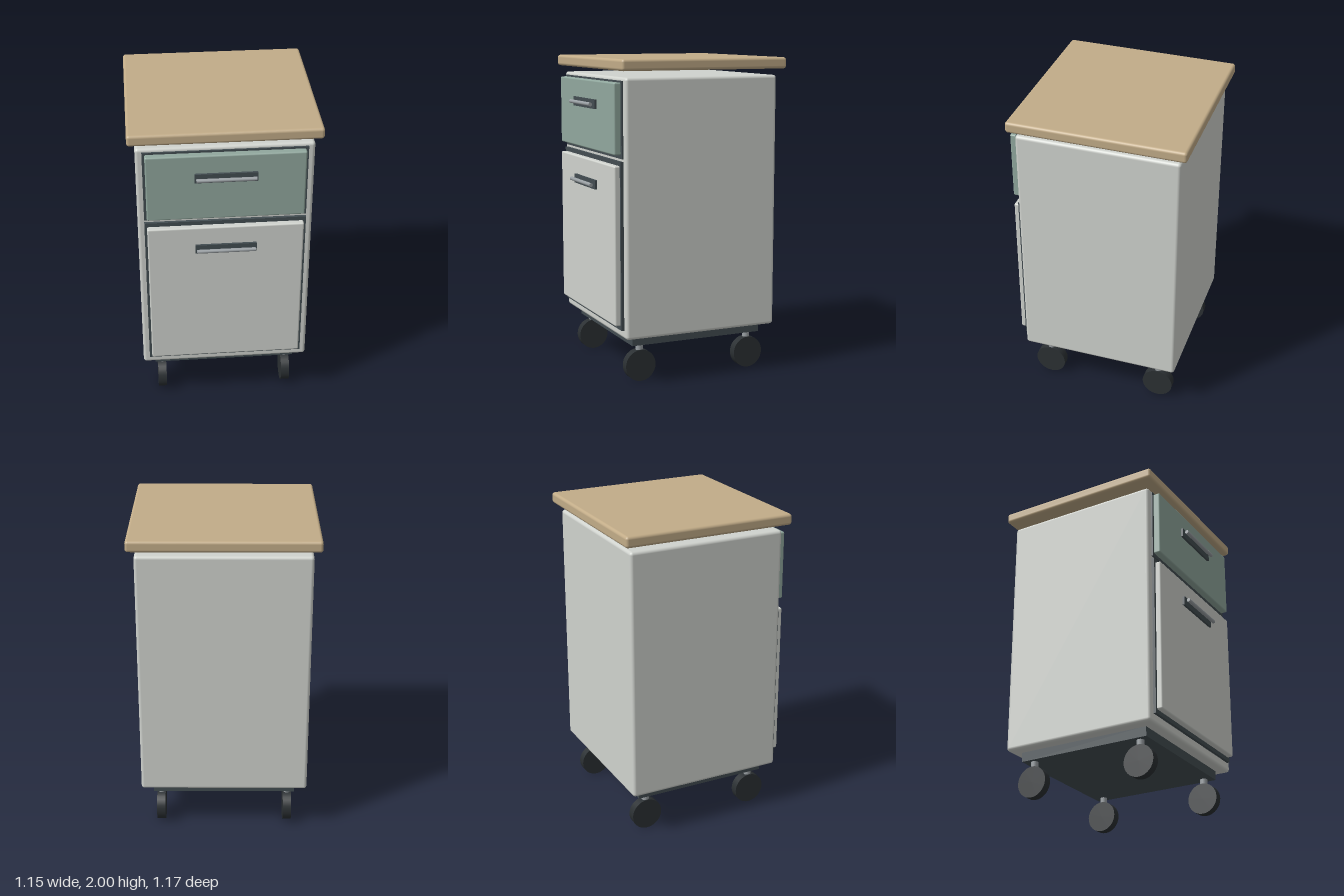
import * as THREE from 'three';
import { RoundedBoxGeometry } from 'three/addons/geometries/RoundedBoxGeometry.js';

const mat = (color) => new THREE.MeshStandardMaterial({ color });

export function createModel() {
  const group = new THREE.Group();
  const shell = mat(0xd0d3ce), wood = mat(0xc2ac88), green = mat(0x91a89e);
  const dark = mat(0x434d52), rubber = mat(0x2b3033), steel = mat(0x9aa0a4);

  const add = (parent, name, geometry, material, x, y, z) => {
    const mesh = new THREE.Mesh(geometry, material);
    mesh.name = name;
    mesh.position.set(x, y, z);
    parent.add(mesh);
    return mesh;
  };
  // Box centred on x, given its width and its y and z limits; r rounds the edges
  const box = (parent, name, material, w, y0, y1, z0, z1, r = 0) => {
    const h = y1 - y0, d = z1 - z0;
    const geometry = r ? new RoundedBoxGeometry(w, h, d, 4, r) : new THREE.BoxGeometry(w, h, d);
    return add(parent, name, geometry, material, 0, (y0 + y1) / 2, (z0 + z1) / 2);
  };

  // Cabinet, floating worktop and plinth
  box(group, 'cabinet', shell, 1.06, 0.295, 1.89, -0.54, 0.48, 0.02);
  box(group, 'worktop', wood, 1.15, 1.93, 2, -0.585, 0.52, 0.018);
  box(group, 'plinth', dark, 0.91, 0.235, 0.297, -0.47, 0.412);

  // Drawers: dark surround, front panel, handle plate and bar
  const drawers = [
    { name: 'upperDrawer', material: green, frame: [1.405, 1.87, 0.49], panel: [1.427, 1.86], handle: 1.715 },
    { name: 'lowerDrawer', material: shell, frame: [0.35, 1.388, 0.498], panel: [0.377, 1.362], handle: 1.215 },
  ];
  for (const { name, material, frame, panel, handle } of drawers) {
    const drawer = new THREE.Group();
    drawer.name = name;
    box(drawer, 'surround', dark, 0.98, frame[0], frame[1], 0.47, frame[2]);
    box(drawer, 'frontPanel', material, 0.95, panel[0], panel[1], 0.485, 0.533, 0.01);
    box(drawer, 'handlePlate', dark, 0.374, handle - 0.029, handle + 0.029, 0.525, 0.547);
    const bar = add(drawer, 'handleBar', new THREE.CylinderGeometry(0.012, 0.012, 0.356, 16),
      steel, 0, handle, 0.57);
    bar.rotation.z = Math.PI / 2;
    group.add(drawer);
  }

  // Four casters
  const wheelGeometry = new THREE.CylinderGeometry(0.1, 0.1, 0.055, 32).rotateZ(Math.PI / 2);
  const stemGeometry = new THREE.CylinderGeometry(0.023, 0.023, 0.07, 16);
  for (const x of [-0.41, 0.41]) {
    for (const z of [-0.405, 0.348]) {
      const caster = new THREE.Group();
      caster.name = 'caster';
      caster.position.set(x, 0, z);
      add(caster, 'wheel', wheelGeometry, rubber, 0, 0.1, 0);
      add(caster, 'stem', stemGeometry, steel, 0, 0.205, 0);
      group.add(caster);
    }
  }
  return group;
}
